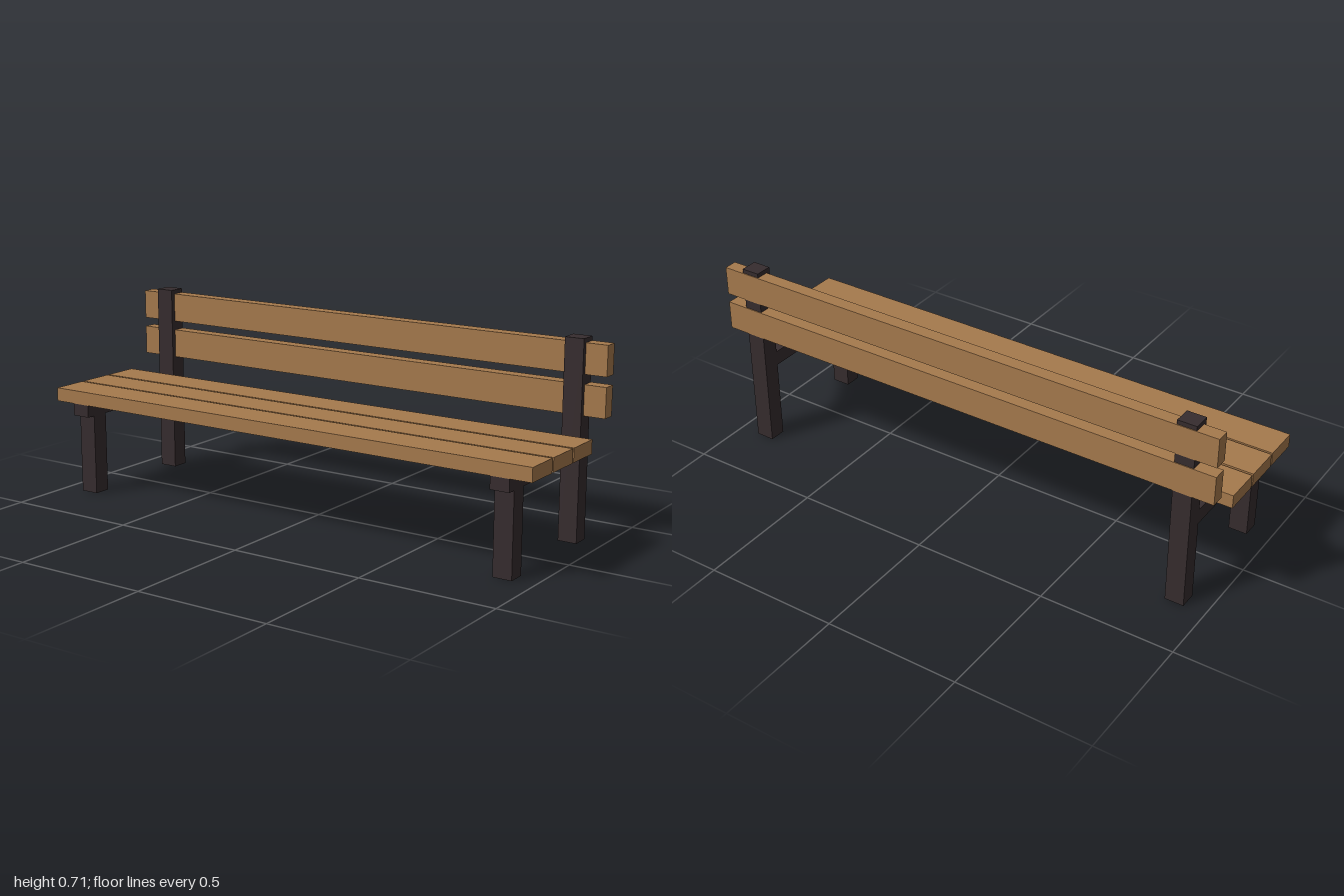
import * as THREE from 'three';

export function createModel() {
  const bench = new THREE.Group();
  bench.name = 'bench';

  const wood = new THREE.MeshStandardMaterial({ color: 0xa67a4d });
  wood.name = 'wood';
  const metal = new THREE.MeshStandardMaterial({ color: 0x362c2e });
  metal.name = 'darkMetal';

  // Box given by its extents along each axis
  function addBox(name, material, [x0, x1], [y0, y1], [z0, z1]) {
    const mesh = new THREE.Mesh(new THREE.BoxGeometry(x1 - x0, y1 - y0, z1 - z0), material);
    mesh.position.set((x0 + x1) / 2, (y0 + y1) / 2, (z0 + z1) / 2);
    mesh.name = name;
    bench.add(mesh);
  }

  // Side frames: front leg, seat rail and tall back post
  for (const [side, x] of [['left', [0.85, 0.92]], ['right', [-0.92, -0.85]]]) {
    addBox(side + 'FrontLeg', metal, x, [0, 0.301], [0.186, 0.25]);
    addBox(side + 'SeatRail', metal, x, [0.301, 0.357], [-0.218, 0.283]);
    addBox(side + 'BackPost', metal, x, [0, 0.714], [-0.281, -0.217]);
  }

  // Seat slats, front to back
  const length = [-1, 1];
  [0.217, 0.073, -0.072].forEach((z, i) => {
    addBox('seatSlat' + (i + 1), wood, length, [0.347, 0.397], [z - 0.068, z + 0.068]);
  });

  // Backrest slats, bottom to top
  [0.447, 0.59].forEach((y, i) => {
    addBox('backSlat' + (i + 1), wood, length, [y, y + 0.108], [-0.284, -0.234]);
  });

  return bench;
}
